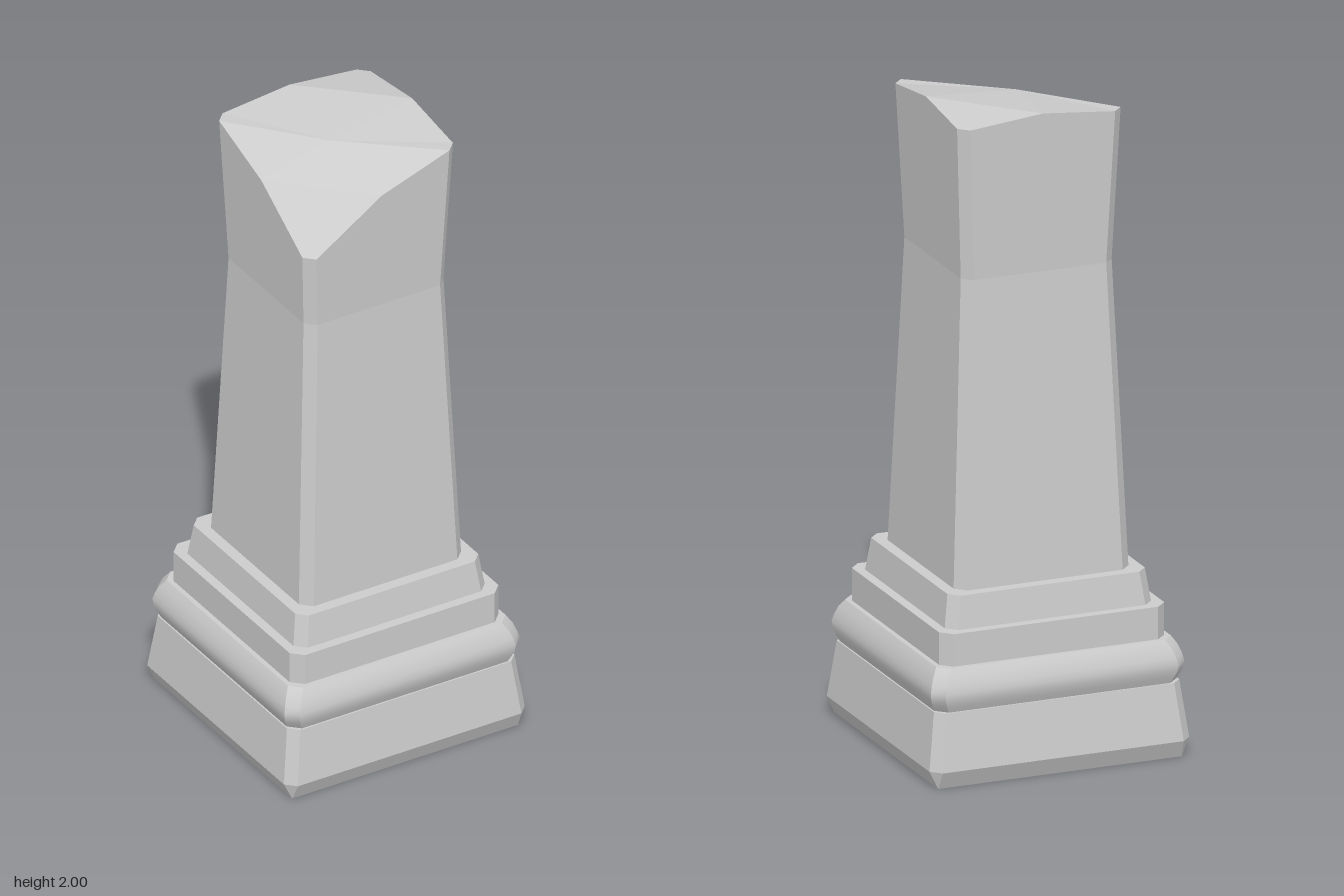
import * as THREE from 'three';
import { toCreasedNormals } from 'three/addons/utils/BufferGeometryUtils.js';

// Square cross-section with chamfered corners and a point in the middle of each side.
// h = half width, i = where the chamfer starts; runs anticlockwise seen from above.
function ring(h, i, y) {
  return [
    [h, 0], [h, -i], [i, -h], [0, -h], [-i, -h], [-h, -i],
    [-h, 0], [-h, i], [-i, h], [0, h], [i, h], [h, i],
  ].map(([x, z]) => [x, y, z]);
}

// Skins a stack of rings; capFaces optionally replaces the flat top.
function stack(rings, capFaces) {
  const pos = [];
  const tri = (a, b, c) => pos.push(...a, ...b, ...c);
  const n = rings[0].length;
  const bottom = rings[0];
  const top = rings[rings.length - 1];
  for (let r = 0; r < rings.length - 1; r++) {
    for (let k = 0; k < n; k++) {
      const m = (k + 1) % n;
      tri(rings[r][k], rings[r][m], rings[r + 1][m]);
      tri(rings[r][k], rings[r + 1][m], rings[r + 1][k]);
    }
  }
  for (let k = 0; k < n; k++) {
    const m = (k + 1) % n;
    tri([0, bottom[0][1], 0], bottom[m], bottom[k]);
    if (!capFaces) tri([0, top[0][1], 0], top[k], top[m]);
  }
  if (capFaces) capFaces(tri, top);
  const geo = new THREE.BufferGeometry();
  geo.setAttribute('position', new THREE.Float32BufferAttribute(pos, 3));
  geo.computeVertexNormals();
  return geo;
}

export function createModel() {
  const group = new THREE.Group();
  const flat = new THREE.MeshStandardMaterial({ color: 0xcccccc, flatShading: true });
  const smooth = new THREE.MeshStandardMaterial({ color: 0xcccccc });
  const add = (name, geo, mat = flat) => {
    const mesh = new THREE.Mesh(geo, mat);
    mesh.name = name;
    group.add(mesh);
  };

  // Plinth: its chamfers run out to points at the ground
  add('plinth', stack([ring(0.387, 0.387, 0), ring(0.413, 0.383, 0.055), ring(0.39, 0.362, 0.23)]));

  // Rounded moulding
  const bulge = [[0.385, 0.23], [0.394, 0.25], [0.401, 0.27], [0.403, 0.29], [0.398, 0.31], [0.388, 0.337], [0.373, 0.36]];
  add('roundedMoulding', toCreasedNormals(stack(bulge.map(([h, y]) => ring(h, h - 0.033, y))), 0.6), smooth);

  // Stepped blocks
  add('stepBlock', stack([ring(0.358, 0.325, 0.36), ring(0.358, 0.325, 0.46)]));
  add('collar', stack([ring(0.328, 0.297, 0.46), ring(0.314, 0.284, 0.56)]));

  // Waisted shaft with a broken top, lowest at the front right corner
  const heights = [2, 1.97, 1.97, 1.993, 1.97, 1.97, 1.887, 1.735, 1.735, 1.887, 1.97, 1.97];
  const brokenRim = heights.map((y, k) => {
    const t = (y - 1.5) / 0.47;
    return ring(0.24 + 0.02 * t, 0.21 + 0.02 * t, y)[k];
  });
  const brokenTop = (tri, top) => {
    const peak = [-0.04, 1.972, 0.035];
    const loop = [0, 3, 4, 5, 6, 9, 10, 11];
    loop.forEach((k, j) => tri(peak, top[k], top[loop[(j + 1) % loop.length]]));
    for (const k of [0, 6]) {
      tri(top[k], top[k + 1], top[k + 2]);
      tri(top[k], top[k + 2], top[k + 3]);
    }
  };
  add('shaft', stack([ring(0.278, 0.246, 0.56), ring(0.24, 0.21, 1.5), brokenRim], brokenTop));

  return group;
}
